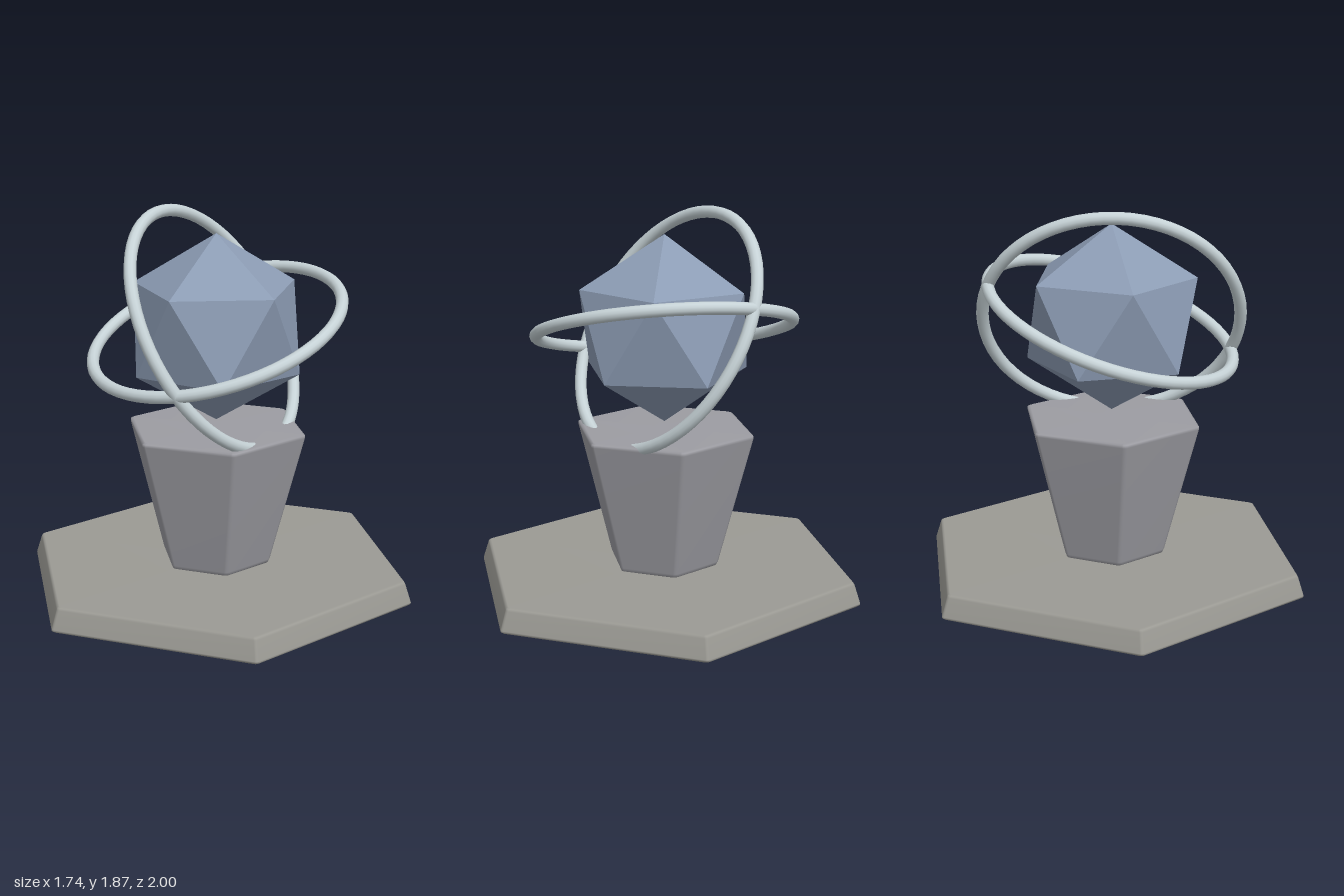
import * as THREE from 'three';
import { ConvexGeometry } from 'three/addons/geometries/ConvexGeometry.js';

const CENTRE_Y = 1.3;

function addMesh(group, name, geometry, color, options = {}) {
  const mesh = new THREE.Mesh(geometry, new THREE.MeshStandardMaterial({ color, ...options }));
  mesh.name = name;
  group.add(mesh);
  return mesh;
}

// Six-sided solid with rounded corners, from [radius, y] levels, bottom to top.
// Shared vertices give area-weighted normals: flat faces with soft bevels.
function hexSolid(levels, round) {
  const steps = 3, n = 6 * (steps + 1);
  const positions = [], index = [];
  for (const [radius, y] of levels) {
    for (let k = 0; k < 6; k++) {
      const corner = k * Math.PI / 3;
      const inset = radius - round * 2 / Math.sqrt(3);
      for (let s = 0; s <= steps; s++) {
        const a = corner + (s / steps - 0.5) * Math.PI / 3;
        positions.push(
          inset * Math.sin(corner) + round * Math.sin(a), y,
          inset * Math.cos(corner) + round * Math.cos(a));
      }
    }
  }
  const last = (levels.length - 1) * n, bottom = levels.length * n, top = bottom + 1;
  positions.push(0, levels[0][1], 0, 0, levels[levels.length - 1][1], 0);
  for (let i = 0; i < n; i++) {
    const j = (i + 1) % n;
    for (let row = 0; row < last; row += n) {
      index.push(row + i, row + j, row + n + j, row + i, row + n + j, row + n + i);
    }
    index.push(bottom, j, i, top, last + i, last + j);
  }
  const geometry = new THREE.BufferGeometry();
  geometry.setAttribute('position', new THREE.Float32BufferAttribute(positions, 3));
  geometry.setIndex(index);
  geometry.computeVertexNormals();
  return geometry;
}

// Icosahedron standing on a point: two poles and two staggered rings of five
function uprightIcosahedron(radius) {
  const h = radius / Math.sqrt(5), r = 2 * h;
  const points = [new THREE.Vector3(0, radius, 0), new THREE.Vector3(0, -radius, 0)];
  for (let i = 0; i < 5; i++) {
    const a = i * Math.PI * 2 / 5;
    points.push(new THREE.Vector3(r * Math.cos(a), h, r * Math.sin(a)));
    points.push(new THREE.Vector3(-r * Math.cos(a), -h, -r * Math.sin(a)));
  }
  return new ConvexGeometry(points);
}

export function createModel() {
  const group = new THREE.Group();
  group.name = 'crystalPedestal';

  // Hexagonal floor slab
  addMesh(group, 'base', hexSolid(
    [[0.99, 0], [1.002, 0.008], [1.002, 0.016], [0.972, 0.105], [0.966, 0.115], [0.955, 0.12]], 0.02), 0x9b9a94);

  // Flared hexagonal pedestal
  addMesh(group, 'pedestal', hexSolid(
    [[0.258, 0.12], [0.275, 0.126], [0.284, 0.145], [0.456, 0.79], [0.455, 0.804], [0.44, 0.81]], 0.025), 0x9c9ca2);

  // Floating faceted crystal
  const crystal = addMesh(group, 'crystal', uprightIcosahedron(0.46), 0x8c9cb4, { flatShading: true });
  crystal.position.y = CENTRE_Y;

  // Two tilted orbit rings, each turned to face along its axis
  const tilt = THREE.MathUtils.degToRad(20);
  const rings = [
    ['lowRing', new THREE.Vector3(0, Math.cos(tilt), Math.sin(tilt))],
    ['steepRing', new THREE.Vector3(0.81, 0.49, -0.33)],
  ];
  for (const [name, axis] of rings) {
    const ring = addMesh(group, name, new THREE.TorusGeometry(0.62, 0.03, 12, 64), 0xc6d2d6);
    ring.quaternion.setFromUnitVectors(new THREE.Vector3(0, 0, 1), axis.normalize());
    ring.position.y = CENTRE_Y;
  }
  return group;
}
